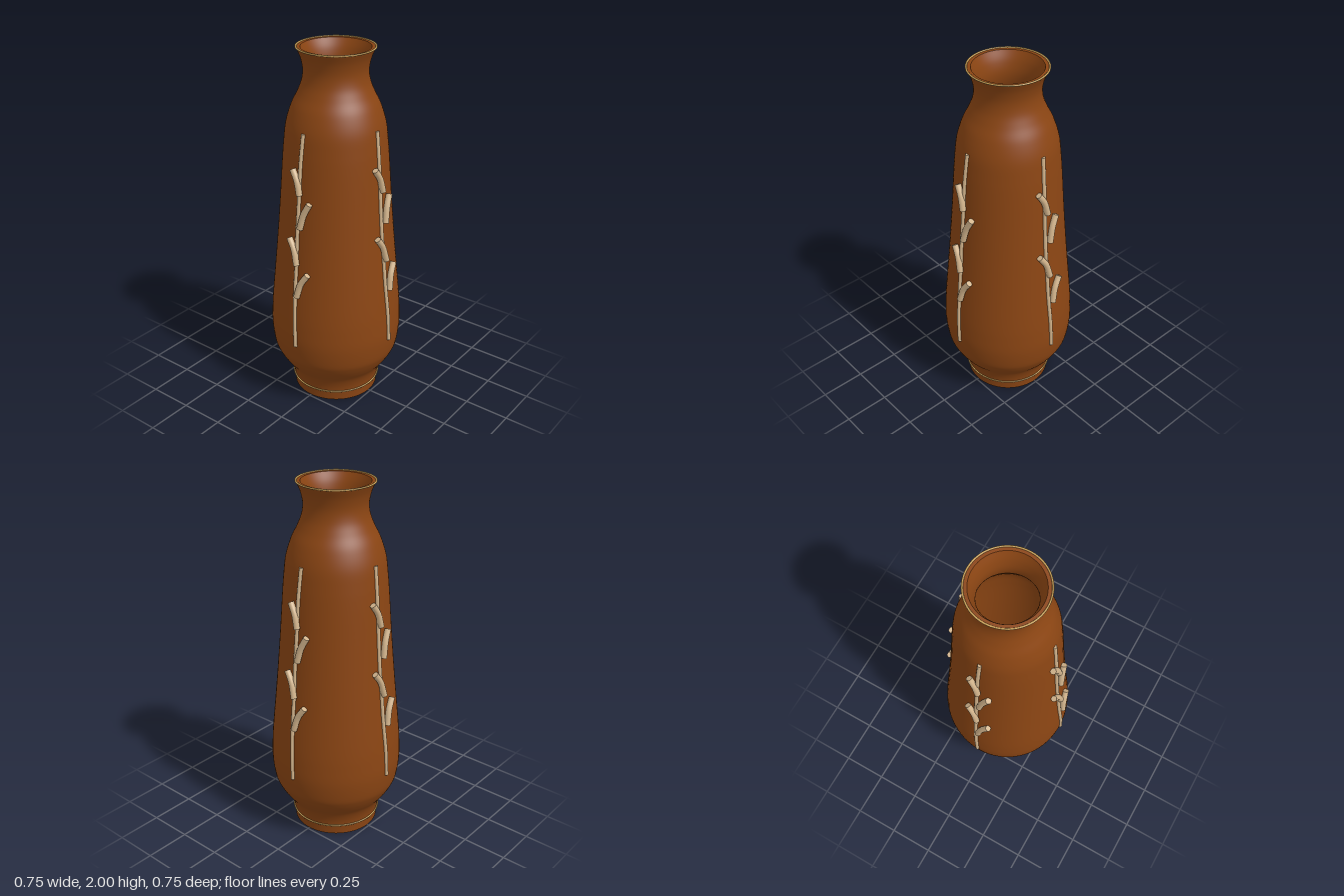
import * as THREE from 'three';

const clay = new THREE.MeshStandardMaterial({ color: 0x8b4513 });
clay.name = 'brown clay';
const tan = new THREE.MeshStandardMaterial({ color: 0xd2b48c });
tan.name = 'tan bamboo';
const gold = new THREE.MeshStandardMaterial({ color: 0xc8a058 });
gold.name = 'gold trim';

// Outer wall as [radius, height]
const PROFILE = [
  [0.237, 0], [0.241, 0.05], [0.25, 0.1], [0.27, 0.15], [0.305, 0.2], [0.334, 0.25], [0.352, 0.3],
  [0.364, 0.4], [0.362, 0.5], [0.355, 0.6], [0.335, 0.8], [0.316, 1.0], [0.299, 1.2], [0.284, 1.4],
  [0.275, 1.5], [0.262, 1.6], [0.234, 1.69], [0.2, 1.76], [0.177, 1.82], [0.17, 1.88], [0.181, 1.94], [0.203, 1.993],
].map(([r, y]) => new THREE.Vector2(r, y));
const wall = new THREE.SplineCurve(PROFILE).getPoints(110);

// Wall radius at a height
function radiusAt(y) {
  const i = Math.max(1, wall.findIndex((p) => p.y >= y));
  const a = wall[i - 1], b = wall[i];
  return THREE.MathUtils.lerp(a.x, b.x, (y - a.y) / (b.y - a.y));
}

function add(parent, name, geometry, material) {
  const mesh = new THREE.Mesh(geometry, material);
  mesh.name = name;
  parent.add(mesh);
  return mesh;
}

// Capped tube following the wall through [x, y] points
function rod(parent, name, points, radius, lift) {
  const group = new THREE.Group();
  group.name = name;
  const curve = new THREE.CatmullRomCurve3(points.map(([x, y]) => {
    const r = radiusAt(y) + lift;
    return new THREE.Vector3(x, y, Math.sqrt(r * r - x * x));
  }));
  add(group, name + 'Shaft', new THREE.TubeGeometry(curve, points.length * 5, radius, 12), tan);
  for (const t of [0, 1]) {
    const cap = add(group, name + 'End', new THREE.CircleGeometry(radius, 12), tan);
    const at = curve.getPointAt(t);
    const out = curve.getTangentAt(t).multiplyScalar(t ? 1 : -1);
    cap.position.copy(at);
    cap.quaternion.setFromUnitVectors(new THREE.Vector3(0, 0, 1), out);
  }
  parent.add(group);
}

export function createModel() {
  const vase = new THREE.Group();
  vase.name = 'vase';

  // Body: outer wall, hollow inside, lip and foot
  const inner = wall.filter((p) => p.y > 0.08).map((p) => new THREE.Vector2(p.x - 0.022, p.y)).reverse();
  const floorY = inner[inner.length - 1].y;
  add(vase, 'outerWall', new THREE.LatheGeometry(wall, 80), clay);
  add(vase, 'innerWall', new THREE.LatheGeometry(inner, 80), clay);
  const lip = add(vase, 'lip', new THREE.RingGeometry(0.181, 0.203, 80), clay);
  lip.rotation.x = -Math.PI / 2;
  lip.position.y = 1.993;
  const floor = add(vase, 'innerFloor', new THREE.CircleGeometry(inner[inner.length - 1].x, 80), clay);
  floor.rotation.x = -Math.PI / 2;
  floor.position.y = floorY;
  const foot = add(vase, 'footBase', new THREE.CircleGeometry(0.237, 80), clay);
  foot.rotation.x = Math.PI / 2;

  // Thin trim rings
  for (const [name, r, y] of [['rimTrim', 0.203, 1.994], ['footTrim', 0.245, 0.06]]) {
    const ring = add(vase, name, new THREE.TorusGeometry(r, 0.005, 8, 80), gold);
    ring.rotation.x = Math.PI / 2;
    ring.position.y = y;
  }

  // Four bamboo sprays around the wall
  const leaves = [
    [[0.008, 0.71], [0.03, 0.79], [0.068, 0.85]],
    [[-0.003, 0.89], [-0.027, 0.975], [-0.063, 1.03]],
    [[0.008, 1.1], [0.028, 1.18], [0.06, 1.245]],
    [[-0.002, 1.28], [-0.022, 1.355], [-0.055, 1.41]],
  ];
  const stem = [[0, 0.4], [-0.005, 0.55], [-0.012, 0.75], [-0.012, 0.9], [-0.015, 1.05], [-0.012, 1.25], [-0.01, 1.42], [-0.004, 1.6]];
  for (let i = 0; i < 4; i++) {
    const spray = new THREE.Group();
    spray.name = 'bambooSpray';
    rod(spray, 'stem', stem, 0.011, 0.002);
    leaves.forEach((leaf) => rod(spray, 'leaf', leaf, 0.017, 0.014));
    spray.rotation.y = i * Math.PI / 2;
    vase.add(spray);
  }
  return vase;
}
